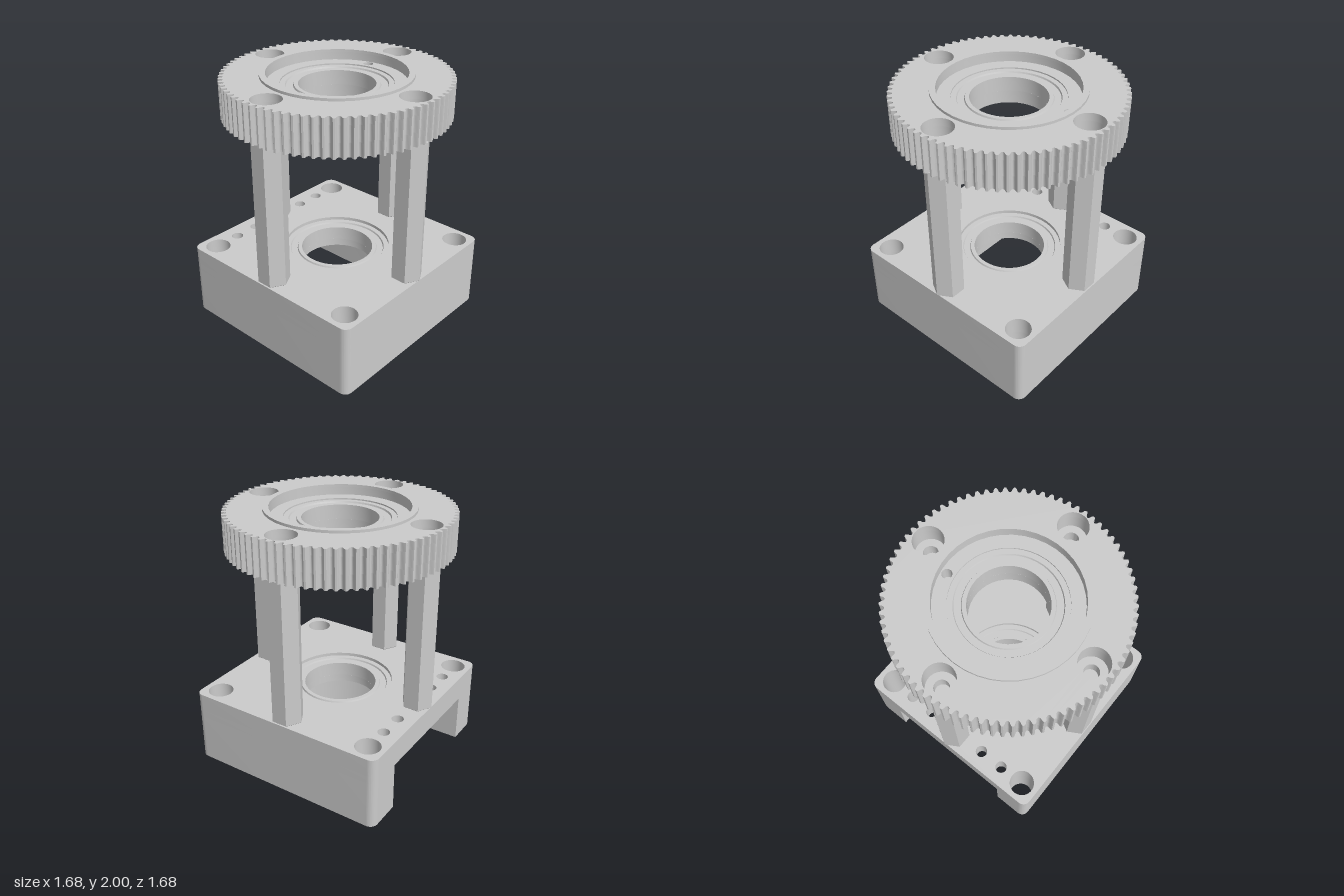
import * as THREE from 'three';
import { toCreasedNormals } from 'three/addons/utils/BufferGeometryUtils.js';

const grey = new THREE.MeshStandardMaterial({ color: 0xcccccc, side: THREE.DoubleSide });
const greyFlat = new THREE.MeshStandardMaterial({ color: 0xcccccc, flatShading: true });

const BOLT = 0.69;    // distance of the posts from the centre
const CORNER = 0.665; // corner through-holes
const boltSpots = [[BOLT, 0], [0, BOLT], [-BOLT, 0], [0, -BOLT]];
const cornerSpots = [[1, 1], [-1, 1], [-1, -1], [1, -1]].map(([a, b]) => [a * CORNER, b * CORNER]);

// Horizontal slab between two heights; shape y points to -z
function slab(name, shape, holes, y0, y1) {
  for (const [x, y, r] of holes) {
    shape.holes.push(new THREE.Path().absarc(x, y, r, 0, Math.PI * 2, true));
  }
  const flat = new THREE.ExtrudeGeometry(shape, { depth: y1 - y0, bevelEnabled: false, curveSegments: 20 });
  const geometry = toCreasedNormals(flat, 0.6);
  geometry.rotateX(-Math.PI / 2).translate(0, y0, 0);
  const mesh = new THREE.Mesh(geometry, grey);
  mesh.name = name;
  return mesh;
}

const withRadius = (spots, r) => spots.map(([x, y]) => [x, y, r]);

// Rounded square, optionally with a U-shaped slot open towards -x
function blockShape(slot) {
  const h = 0.8, r = 0.06, k = h - r, s = new THREE.Shape();
  s.moveTo(-h, -k);
  s.absarc(-k, -k, r, Math.PI, Math.PI * 1.5);
  s.absarc(k, -k, r, Math.PI * 1.5, Math.PI * 2);
  s.absarc(k, k, r, 0, Math.PI / 2);
  s.absarc(-k, k, r, Math.PI / 2, Math.PI);
  if (slot) {
    s.lineTo(-h, slot);
    s.lineTo(0, slot);
    s.absarc(0, 0, slot, Math.PI / 2, -Math.PI / 2, true);
    s.lineTo(-h, -slot);
  }
  return s;
}

// Toothed outline with rounded valleys
function gearShape(teeth = 80, steps = 10) {
  const points = [];
  for (let i = 0; i < teeth * steps; i++) {
    const t = ((i % steps) / steps - 0.5) / 0.31;
    const r = 0.84 - (Math.abs(t) < 1 ? 0.036 * Math.sqrt(1 - t * t) : 0);
    const a = (i / (teeth * steps)) * Math.PI * 2;
    points.push(new THREE.Vector2(r * Math.cos(a), r * Math.sin(a)));
  }
  return new THREE.Shape(points);
}

function circleShape(r) {
  return new THREE.Shape().absarc(0, 0, r, 0, Math.PI * 2);
}

// Bearing ring with two races and a sunken seal between them
function bearing(name, top, height) {
  const profile = [
    [0.28, -height], [0.41, -height], [0.41, 0], [0.37, 0], [0.365, -0.012],
    [0.315, -0.012], [0.31, 0], [0.28, 0], [0.28, -height],
  ].map(([r, y]) => new THREE.Vector2(r, top + y));
  const mesh = new THREE.Mesh(toCreasedNormals(new THREE.LatheGeometry(profile, 48), 0.5), grey);
  mesh.name = name;
  return mesh;
}

// Hexagonal standoff with chamfered ends
function post(x, z) {
  const y0 = 0.57, y1 = 1.7, c = 0.012;
  const profile = [
    [0, y0], [0.105, y0], [0.12, y0 + c], [0.12, y1 - c], [0.105, y1], [0, y1],
  ].map(([r, y]) => new THREE.Vector2(r, y));
  const mesh = new THREE.Mesh(new THREE.LatheGeometry(profile, 6).rotateY(Math.PI / 2), greyFlat);
  mesh.position.set(x, 0, z);
  mesh.name = 'hexPost';
  return mesh;
}

export function createModel() {
  const model = new THREE.Group();
  model.name = 'pulleyMount';

  // Base block: slotted lower body under a drilled plate
  const base = new THREE.Group();
  base.name = 'baseBlock';
  const corners = withRadius(cornerSpots, 0.095);
  const wallBolts = withRadius(boltSpots.filter(([x]) => x > -0.1), 0.085);
  const rowHoles = [-0.46, -0.26, 0.26, 0.46].map((z) => [-0.67, z, 0.045]);
  const plateHoles = [...corners, ...withRadius(boltSpots, 0.055), ...rowHoles];
  base.add(
    slab('slottedBody', blockShape(0.52), [...corners, ...wallBolts], 0.005, 0.38),
    slab('basePlateLower', blockShape(0), [...plateHoles, [0, 0, 0.28]], 0.38, 0.44),
    slab('basePlateUpper', blockShape(0), [...plateHoles, [0, 0, 0.41]], 0.44, 0.575),
    bearing('baseBearing', 0.55, 0.11),
  );

  // Four standoffs between base and pulley
  const posts = new THREE.Group();
  posts.name = 'posts';
  for (const [x, z] of boltSpots) posts.add(post(x, z));

  // Toothed pulley with counterbored bolts, recess and raised rim
  const pulley = new THREE.Group();
  pulley.name = 'toothedPulley';
  const counterbores = withRadius(boltSpots, 0.11);
  pulley.add(
    slab('pulleyBottom', gearShape(), [...withRadius(boltSpots, 0.055), [0, 0, 0.28]], 1.7, 1.8),
    slab('pulleyMiddle', gearShape(), [...counterbores, [0, 0, 0.41], [-0.09, 0.455, 0.037]], 1.8, 1.92),
    slab('pulleyTop', gearShape(), [...counterbores, [0, 0, 0.51]], 1.92, 1.98),
    slab('raisedRim', circleShape(0.555), [[0, 0, 0.51]], 1.98, 2),
    bearing('pulleyBearing', 1.91, 0.11),
  );

  model.add(base, posts, pulley);
  return model;
}
